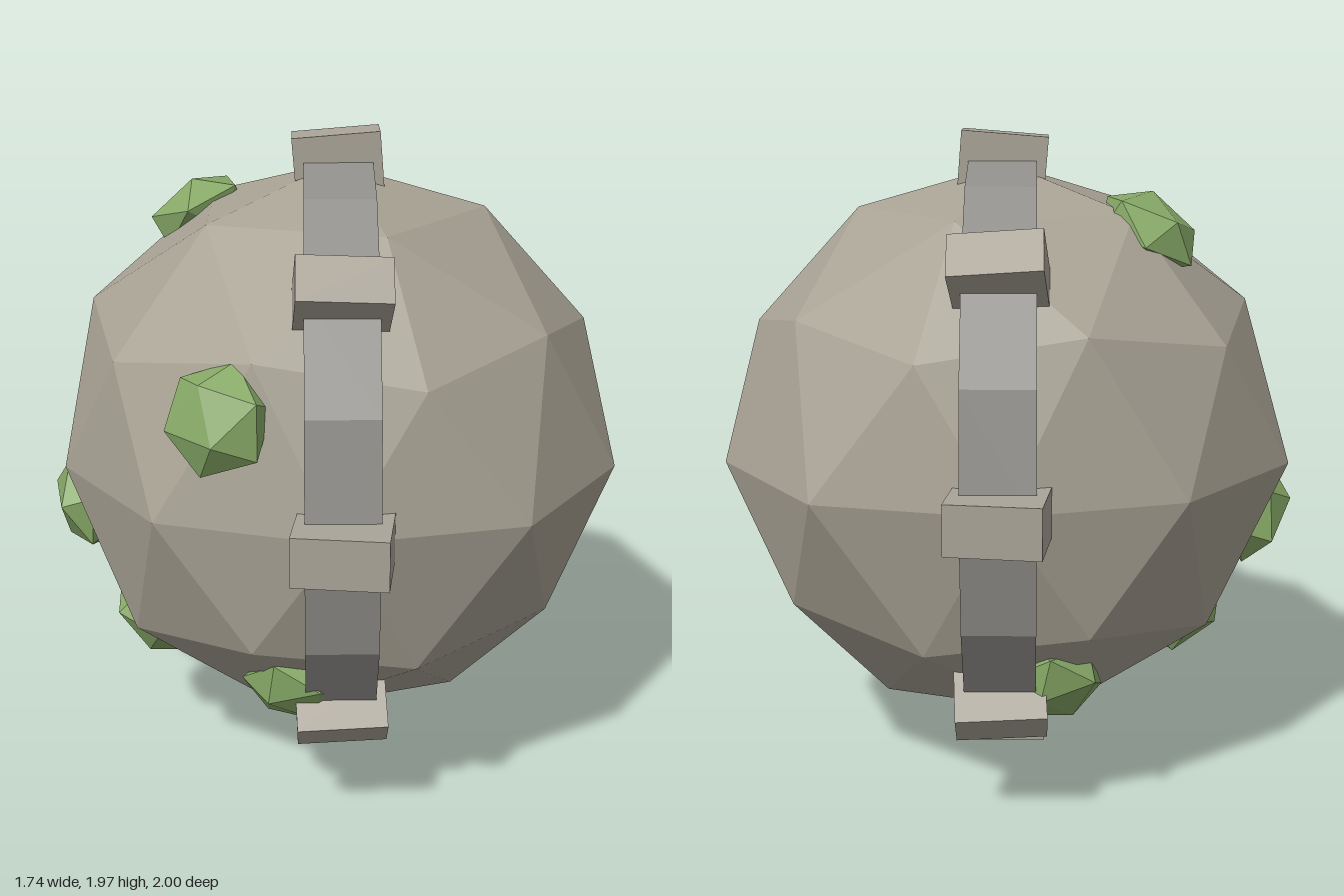
import * as THREE from 'three';

const mat = (color) => new THREE.MeshStandardMaterial({ color, flatShading: true });

function part(name, geometry, material) {
  const mesh = new THREE.Mesh(geometry, material);
  mesh.name = name;
  return mesh;
}

// Faceted boulder with a vertex at the top and a few slightly shifted corners
function boulderGeometry() {
  const geo = new THREE.IcosahedronGeometry(1, 1);
  geo.rotateZ(-Math.atan(2 / (1 + Math.sqrt(5))));
  // [direction, radius]
  const nudges = [
    [[-0.95, 0, 0.31], 0.852], [[-0.95, 0, -0.31], 0.89],
    [[0.95, 0, 0.31], 0.888], [[0.95, 0, -0.31], 0.888],
    [[0.59, 0, 0.81], 0.905], [[0.59, 0, -0.81], 0.905],
    [[-0.89, -0.45, 0], 0.835], [[0, 0, 1], 0.85], [[0, 0, -1], 0.85],
  ].map(([d, r]) => [new THREE.Vector3(...d).normalize(), r]);
  const p = geo.attributes.position;
  const v = new THREE.Vector3();
  for (let i = 0; i < p.count; i++) {
    v.fromBufferAttribute(p, i).normalize();
    const hit = nudges.find(([d]) => d.dot(v) > 0.99);
    v.multiplyScalar(hit ? hit[1] : 0.866);
    p.setXYZ(i, v.x, v.y, v.z);
  }
  geo.computeVertexNormals();
  return geo;
}

export function createModel() {
  const model = new THREE.Group();
  model.name = 'bandedBoulder';
  const stone = mat(0xa8a294);
  const bandStone = mat(0x92908c);
  const blockStone = mat(0xaaa498);
  const moss = mat(0x86a866);

  const boulder = part('boulder', boulderGeometry(), stone);
  boulder.position.set(0.02, 1, 0);
  model.add(boulder);

  // Sixteen-sided band running over the top, front, bottom and back
  const band = part('band', new THREE.CylinderGeometry(0.893, 0.893, 0.205, 16), bandStone);
  band.rotation.z = Math.PI / 2;
  band.position.set(0.033, 1, 0);
  model.add(band);

  // Blocks every 45 degrees from the front upward: [outer radius, tilt]
  const blocks = new THREE.Group();
  blocks.name = 'bandBlocks';
  const depth = 0.2;
  [
    [0.985, -0.12], [0.965, 0.06], [0.96, -0.08], [0.965, 0.1],
    [0.983, 0.13], [0.965, -0.05], [1.0, 0], [0.965, 0.05],
  ].forEach(([outer, tilt], i) => {
    const a = (i * Math.PI) / 4;
    const r = outer - depth / 2;
    const block = part('bandBlock', new THREE.BoxGeometry(0.262, 0.142, depth), blockStone);
    block.position.set(0.033, 1 + r * Math.sin(a), r * Math.cos(a));
    block.rotation.set(-a, tilt, 0);
    blocks.add(block);
  });
  model.add(blocks);

  // Flattened moss clumps lying on the boulder: [direction, size, spin]
  const clumps = new THREE.Group();
  clumps.name = 'mossClumps';
  [
    [[-0.33, 0.31, 0.72], 0.165, 0.3],
    [[-0.43, 0.7, -0.19], 0.17, 1.1],
    [[-0.8, -0.23, -0.03], 0.165, 0.6],
    [[-0.58, -0.59, 0.07], 0.165, 1.7],
    [[-0.12, -0.58, 0.6], 0.16, 0.9],
    [[-0.14, -0.6, -0.58], 0.165, 0.2],
  ].forEach(([dir, size, spin]) => {
    const d = new THREE.Vector3(...dir).normalize();
    const geo = new THREE.IcosahedronGeometry(size, 0);
    geo.rotateZ(spin);
    geo.scale(1, 1, 0.6);
    const clump = part('mossClump', geo, moss);
    clump.quaternion.setFromUnitVectors(new THREE.Vector3(0, 0, 1), d);
    clump.position.copy(d).multiplyScalar(0.825).add(boulder.position);
    clumps.add(clump);
  });
  model.add(clumps);

  return model;
}
